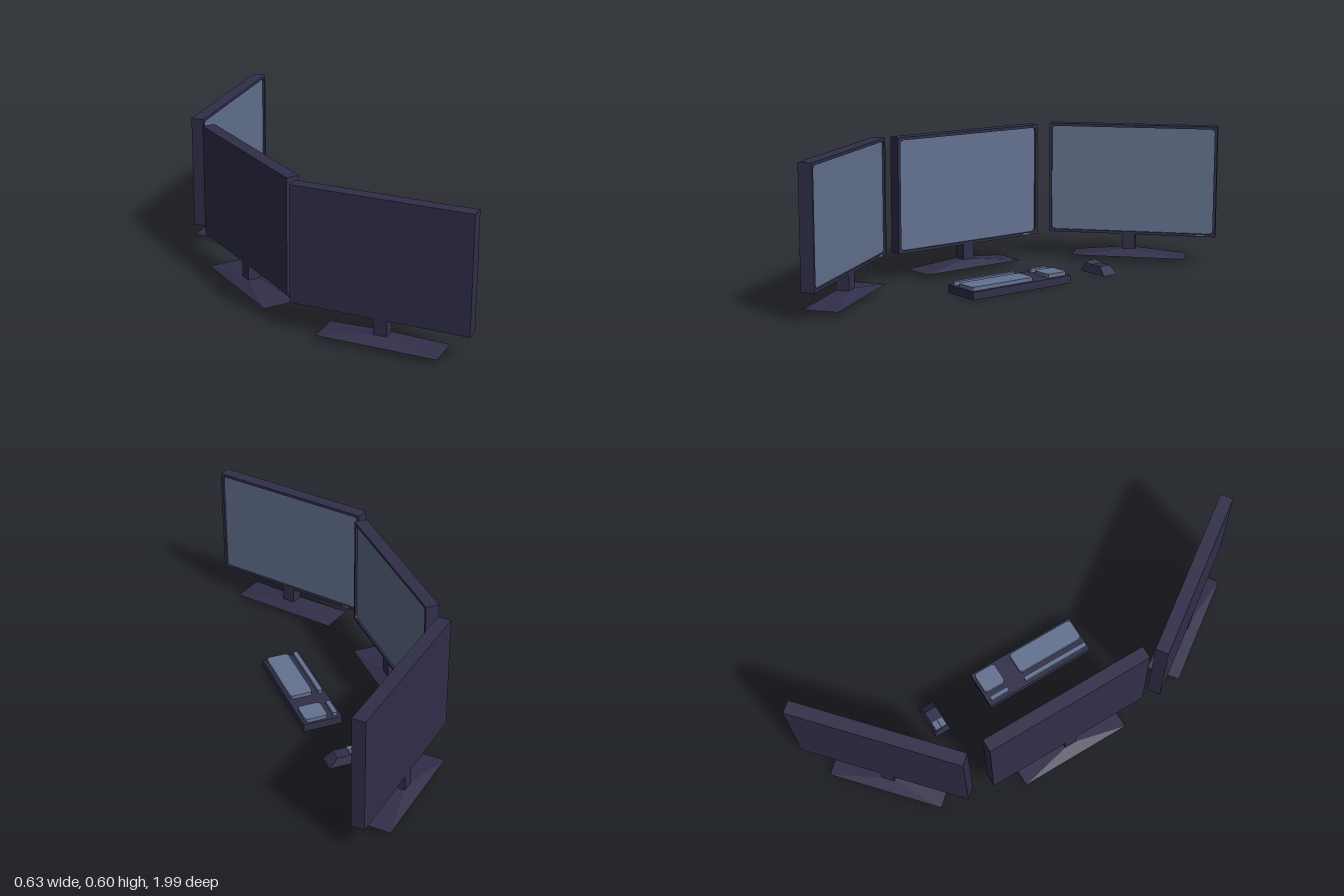
import * as THREE from 'three';

// Closed four-sided block tapering from a bottom to a top rectangle: [x0, x1, z0, z1]
function frustum(b, t, y0, y1) {
  const g = new THREE.BoxGeometry(1, 1, 1);
  const p = g.attributes.position;
  for (let i = 0; i < p.count; i++) {
    const up = p.getY(i) > 0;
    const r = up ? t : b;
    p.setXYZ(i, p.getX(i) > 0 ? r[1] : r[0], up ? y1 : y0, p.getZ(i) > 0 ? r[3] : r[2]);
  }
  g.computeVertexNormals();
  return g;
}

// Rectangle with rounded corners, centred on the origin
function roundedRect(Type, w, h, r) {
  const s = new Type();
  const x = w / 2, y = h / 2;
  s.moveTo(-x + r, -y);
  s.lineTo(x - r, -y);
  s.quadraticCurveTo(x, -y, x, -y + r);
  s.lineTo(x, y - r);
  s.quadraticCurveTo(x, y, x - r, y);
  s.lineTo(-x + r, y);
  s.quadraticCurveTo(-x, y, -x, y - r);
  s.lineTo(-x, -y + r);
  s.quadraticCurveTo(-x, -y, -x + r, -y);
  return s;
}

export function createModel() {
  const model = new THREE.Group();
  model.name = 'deskSetup';
  const plastic = new THREE.MeshStandardMaterial({ name: 'darkPlastic', color: 0x312f4a });
  const glass = new THREE.MeshStandardMaterial({ name: 'blueGrey', color: 0x63728f });

  const add = (parent, name, geometry, material, x = 0, y = 0, z = 0) => {
    const m = new THREE.Mesh(geometry, material);
    m.name = name;
    m.position.set(x, y, z);
    parent.add(m);
    return m;
  };

  // Monitor: faces local +x, its width runs along z
  const W = 0.73, H = 0.482, D = 0.055, CY = 0.359, RECESS = 0.01, BEZEL = 0.012;
  function monitor(name, x, z, angle) {
    const g = new THREE.Group();
    g.name = name;
    g.position.set(x, 0, z);
    g.rotation.y = angle;
    model.add(g);

    // casing with a raised rim around the sunken screen
    add(g, 'casing', new THREE.BoxGeometry(D - RECESS, H, W), plastic, -RECESS / 2, CY, 0);
    const rim = new THREE.Shape();
    rim.moveTo(-W / 2, -H / 2);
    rim.lineTo(W / 2, -H / 2);
    rim.lineTo(W / 2, H / 2);
    rim.lineTo(-W / 2, H / 2);
    rim.closePath();
    const sw = W - 2 * BEZEL, sh = H - 2 * BEZEL;
    rim.holes.push(roundedRect(THREE.Path, sw, sh, 0.018));
    const rimGeo = new THREE.ExtrudeGeometry(rim, { depth: RECESS, bevelEnabled: false, curveSegments: 3 });
    rimGeo.rotateY(Math.PI / 2);
    add(g, 'bezel', rimGeo, plastic, D / 2 - RECESS, CY, 0);

    const screenGeo = new THREE.ShapeGeometry(roundedRect(THREE.Shape, sw, sh, 0.018), 3);
    screenGeo.rotateY(Math.PI / 2);
    add(g, 'screen', screenGeo, glass, D / 2 - RECESS + 0.001, CY, 0);
    add(g, 'powerLight', new THREE.BoxGeometry(0.001, 0.006, 0.03), glass, D / 2, CY - H / 2 + 0.006, -0.3);

    // stand: short neck on a low pyramid foot
    const zc = 0.01, n = 0.027;
    add(g, 'neck', new THREE.BoxGeometry(2 * n, 0.07, 2 * n), plastic, 0, 0.086, zc);
    add(g, 'foot', frustum([-0.072, 0.072, zc - 0.246, zc + 0.246], [-n, n, zc - n, zc + n], 0.024, 0.053), plastic);
  }
  monitor('middleMonitor', -0.247, -0.035, 0);
  monitor('rightMonitor', 0.0225, -0.738, -0.85);
  monitor('leftMonitor', -0.066, 0.68, 0.621);

  // Keyboard with four raised key blocks
  const keyboard = new THREE.Group();
  keyboard.name = 'keyboard';
  model.add(keyboard);
  add(keyboard, 'keyboardBody', new THREE.BoxGeometry(0.166, 0.033, 0.498), plastic, 0.138, 0.0175, 0.029);
  const keyBlock = (name, x0, x1, z0, z1) => {
    const w = x1 - x0, d = z1 - z0;
    const geo = new THREE.ExtrudeGeometry(
      roundedRect(THREE.Shape, w, d, Math.min(w, d) * 0.15),
      { depth: 0.017, bevelEnabled: false, curveSegments: 2 });
    geo.rotateX(-Math.PI / 2);
    add(keyboard, name, geo, glass, (x0 + x1) / 2, 0.033, (z0 + z1) / 2);
  };
  keyBlock('mainKeys', 0.112, 0.209, -0.035, 0.272);
  keyBlock('numberPad', 0.112, 0.209, -0.21, -0.112);
  keyBlock('functionKeys', 0.069, 0.088, -0.035, 0.272);
  keyBlock('mediaKeys', 0.069, 0.088, -0.205, -0.118);

  // Mouse: tapered body with two buttons at one end
  const mouse = new THREE.Group();
  mouse.name = 'mouse';
  mouse.position.set(0.14, 0, -0.447);
  model.add(mouse);
  add(mouse, 'mouseBody', frustum([-0.072, 0.072, -0.037, 0.037], [-0.062, 0.035, -0.027, 0.027], 0.001, 0.036), plastic);
  for (const s of [-1, 1]) {
    add(mouse, 'mouseButton', new THREE.BoxGeometry(0.038, 0.006, 0.023), glass, -0.04, 0.038, s * 0.0135);
  }
  return model;
}
